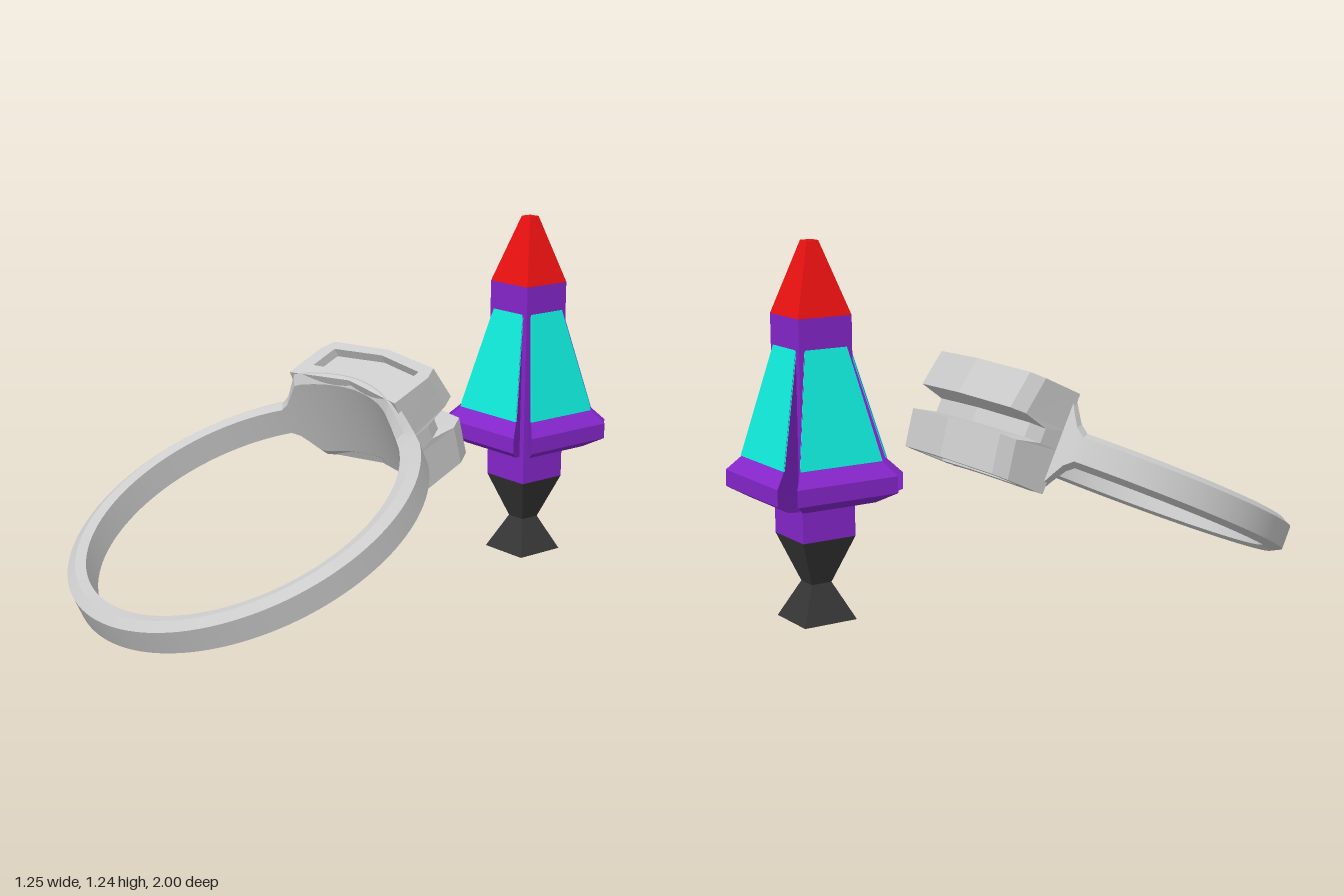
import * as THREE from 'three';
import { toCreasedNormals } from 'three/addons/utils/BufferGeometryUtils.js';

const V = (x, y, z) => new THREE.Vector3(x, y, z);
const lerp = THREE.MathUtils.lerp;

// Skin a list of equal-length loops; caps are fans around each end's centre.
function loft(rings, caps = true) {
  const pos = [];
  const tri = (...pts) => pts.forEach((p) => pos.push(p.x, p.y, p.z));
  const n = rings[0].length;
  for (let i = 0; i < rings.length - 1; i++) {
    for (let j = 0; j < n; j++) {
      const k = (j + 1) % n;
      const a = rings[i][j], b = rings[i][k], c = rings[i + 1][k], d = rings[i + 1][j];
      tri(a, b, c);
      tri(a, c, d);
    }
  }
  if (caps) {
    [rings[0], rings[rings.length - 1]].forEach((ring, end) => {
      const mid = ring.reduce((s, p) => s.add(p), V(0, 0, 0)).divideScalar(n);
      for (let j = 0; j < n; j++) {
        const p = ring[j], q = ring[(j + 1) % n];
        end ? tri(mid, p, q) : tri(mid, q, p);
      }
    });
  }
  const g = new THREE.BufferGeometry();
  g.setAttribute('position', new THREE.Float32BufferAttribute(pos, 3));
  g.computeVertexNormals();
  return g;
}

function part(name, geometry, color = 0xcccccc, flatShading = true) {
  const material = new THREE.MeshStandardMaterial({ color, flatShading });
  const mesh = new THREE.Mesh(geometry, material);
  mesh.name = name;
  return mesh;
}

// Stack of square sections given as [halfWidth, y]
const squareLoft = (levels) =>
  loft(levels.map(([h, y]) => [V(h, y, h), V(h, y, -h), V(-h, y, -h), V(-h, y, h)]));

// Ring whose band widens into a curved plate at the back
function bandGeometry() {
  const band = [[0.625, 0.042], [0.59, 0.06], [0.555, 0.05]];
  const plate = [[0.602, 0.168], [0.578, 0.178], [0.555, 0.145]];
  const rings = [];
  const steps = 120;
  for (let i = 0; i <= steps; i++) {
    const a = (i / steps) * Math.PI * 2;
    const x = Math.abs(0.59 * Math.sin(a));
    const t = Math.cos(a) > 0 ? THREE.MathUtils.clamp((0.335 - x) / 0.07, 0, 1) : 0;
    const half = band.map(([r, h], k) => [lerp(r, plate[k][0], t), lerp(h, plate[k][1], t)]);
    const section = [...half, ...half.map(([r, h]) => [r, -h]).reverse()];
    rings.push(section.map(([r, h]) => V(r * Math.sin(a), h, -r * Math.cos(a))));
  }
  return toCreasedNormals(loft(rings, false), 0.3);
}

// Chevron-shaped setting: grooved around the middle, recessed above and below
function settingGeometry() {
  const outline = (half, y, push) => {
    const [side, corner, tip, back] = half;
    const p = ([x, u], s, d) => V(s * x, y, -u - d);
    return [p(side[0], 1, 0), p(side[1], 1, push), p(corner, 1, push), p(tip, 1, push),
      p(corner, -1, push), p(side[1], -1, push), p(side[0], -1, 0), p(back, 1, 0)];
  };
  const full = [[[0.29, 0.52], [0.293, 0.69]], [0.268, 0.74], [0, 0.77], [0, 0.562]];
  const inset = [[[0.23, 0.585], [0.23, 0.68]], [0.228, 0.69], [0, 0.72], [0, 0.612]];
  const lower = [
    [inset, 0.145, 0], [inset, 0.176, 0], [full, 0.176, -0.015],
    [full, 0.045, 0.01], [full, 0.025, -0.085],
  ];
  const rings = lower.map(([s, y, d]) => outline(s, -y, d));
  [...lower].reverse().forEach(([s, y, d]) => rings.push(outline(s, y, d)));
  return loft(rings);
}

// Flared side panel; its width grows with its distance r from the axis
const panelWidth = (r) => 0.075 + (r - 0.095) * 0.81;

function finGeometry() {
  const profile = [[0.095, 0.38], [0.165, 0.4], [0.225, 0.435], [0.225, 0.49], [0.185, 0.535], [0.096, 0.9]];
  return loft(profile.map(([r, y]) => {
    const w = panelWidth(r);
    return [V(w, y, r), V(0.07, y, 0.09), V(-0.07, y, 0.09), V(-w, y, r)];
  }));
}

function glassGeometry() {
  return loft([[0.185, 0.537], [0.096, 0.9]].map(([r, y]) => {
    const w = panelWidth(r) - 0.001;
    return [V(w, y, r + 0.002), V(w, y, r - 0.004), V(-w, y, r - 0.004), V(-w, y, r + 0.002)];
  }));
}

export function createModel() {
  const model = new THREE.Group();
  model.name = 'ringAndLantern';

  // Tilted ring
  const ring = new THREE.Group();
  ring.name = 'ring';
  ring.add(part('band', bandGeometry(), 0xcccccc, false), part('setting', settingGeometry()));
  ring.rotation.x = THREE.MathUtils.degToRad(25.5);
  ring.position.set(0, 0.33, 0.415);
  model.add(ring);

  // Square lantern standing behind it
  const purple = 0x8626cc;
  const lantern = new THREE.Group();
  lantern.name = 'lantern';
  lantern.position.set(0.072, 0, -0.777);
  lantern.add(
    part('foot', squareLoft([[0.03, 0.05], [0.07, 0], [0.095, 0], [0.036, 0.122], [0.095, 0.28]]), 0x363636),
    part('core', squareLoft([[0.095, 0.28], [0.095, 1]]), purple),
    part('tip', squareLoft([[0.095, 1], [0.021, 1.235]]), 0xee1111),
  );
  for (let i = 0; i < 4; i++) {
    const side = new THREE.Group();
    side.name = 'lanternSide';
    side.rotation.y = (i * Math.PI) / 2;
    side.add(part('fin', finGeometry(), purple), part('glassPanel', glassGeometry(), 0x10eedd));
    lantern.add(side);
  }
  model.add(lantern);
  return model;
}
